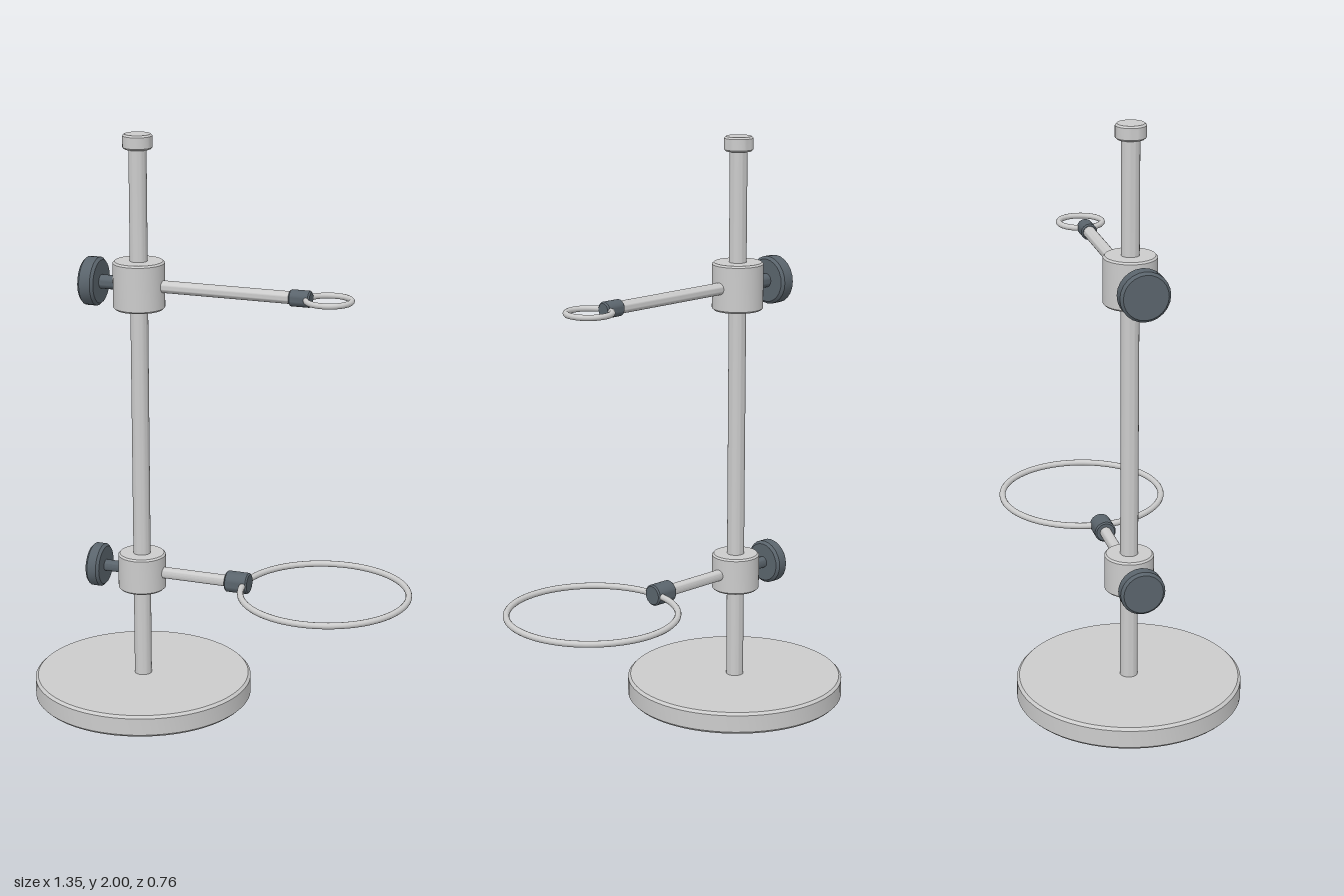
import * as THREE from 'three';
import { toCreasedNormals } from 'three/addons/utils/BufferGeometryUtils.js';

const metal = new THREE.MeshStandardMaterial({ color: 0xcccccc });
const dark = new THREE.MeshStandardMaterial({ color: 0x5a646c });
const POLE_X = -0.293;
const RING_X = 0.375;

// Solid disc or rod along y, from y = 0 to h, with chamfered rims
function turned(name, r, h, bevel, material = metal, sides = 48) {
  const profile = [
    [0, 0], [r - bevel, 0], [r, bevel], [r, h - bevel], [r - bevel, h], [0, h],
  ].map(([x, y]) => new THREE.Vector2(x, y));
  const geometry = toCreasedNormals(new THREE.LatheGeometry(profile, sides), 0.6);
  const mesh = new THREE.Mesh(geometry, material);
  mesh.name = name;
  return mesh;
}

// The same solid laid along x, from x0 to x1
function turnedX(name, r, x0, x1, bevel, material, sides) {
  const mesh = turned(name, r, x1 - x0, bevel, material, sides);
  mesh.rotation.z = -Math.PI / 2;
  mesh.position.x = x0;
  return mesh;
}

// Sliding clamp with thumbscrew, arm, ferrule and horizontal ring
function ringClamp(name, y, p) {
  const clamp = new THREE.Group();
  clamp.name = name;
  clamp.position.y = y;

  const collar = turned('collar', p.collarR, p.collarH, 0.006);
  collar.position.set(POLE_X, -p.collarH / 2, 0);

  const ring = new THREE.Mesh(new THREE.TorusGeometry(p.ringR, p.wire, 12, 72), metal);
  ring.name = 'ring';
  ring.rotation.x = Math.PI / 2;
  ring.position.x = RING_X;

  clamp.add(
    collar,
    ring,
    turnedX('thumbscrewKnob', p.knobR, p.knobX, -0.43, 0.009, dark, 24),
    turnedX('thumbscrewStem', p.stemR, -0.435, POLE_X - 0.05, 0.002, dark, 24),
    turnedX('arm', p.armR, POLE_X + 0.05, p.ferrule[0] + 0.02, 0.002, metal, 24),
    turnedX('ferrule', p.ferruleR, p.ferrule[0], p.ferrule[1], 0.005, dark, 24),
  );
  return clamp;
}

export function createModel() {
  const model = new THREE.Group();
  model.name = 'ringStand';

  // Round foot, pole and end cap
  const base = turned('base', 0.382, 0.078, 0.009, metal, 64);
  const pole = turned('pole', 0.03, 1.9, 0.002, metal, 32);
  const cap = turned('poleCap', 0.05, 0.05, 0.006, metal, 32);
  base.position.x = POLE_X;
  pole.position.set(POLE_X, 0.06, 0);
  cap.position.set(POLE_X, 1.95, 0);

  // Small ring above, large ring below
  const upper = ringClamp('upperClamp', 1.49, {
    collarR: 0.088, collarH: 0.164, knobR: 0.083, knobX: -0.487, stemR: 0.024,
    armR: 0.021, ferrule: [0.242, 0.315], ferruleR: 0.028, ringR: 0.075, wire: 0.01,
  });
  const lower = ringClamp('lowerClamp', 0.465, {
    collarR: 0.083, collarH: 0.13, knobR: 0.076, knobX: -0.48, stemR: 0.02,
    armR: 0.02, ferrule: [0.022, 0.105], ferruleR: 0.037, ringR: 0.287, wire: 0.011,
  });

  model.add(base, pole, cap, upper, lower);
  return model;
}
